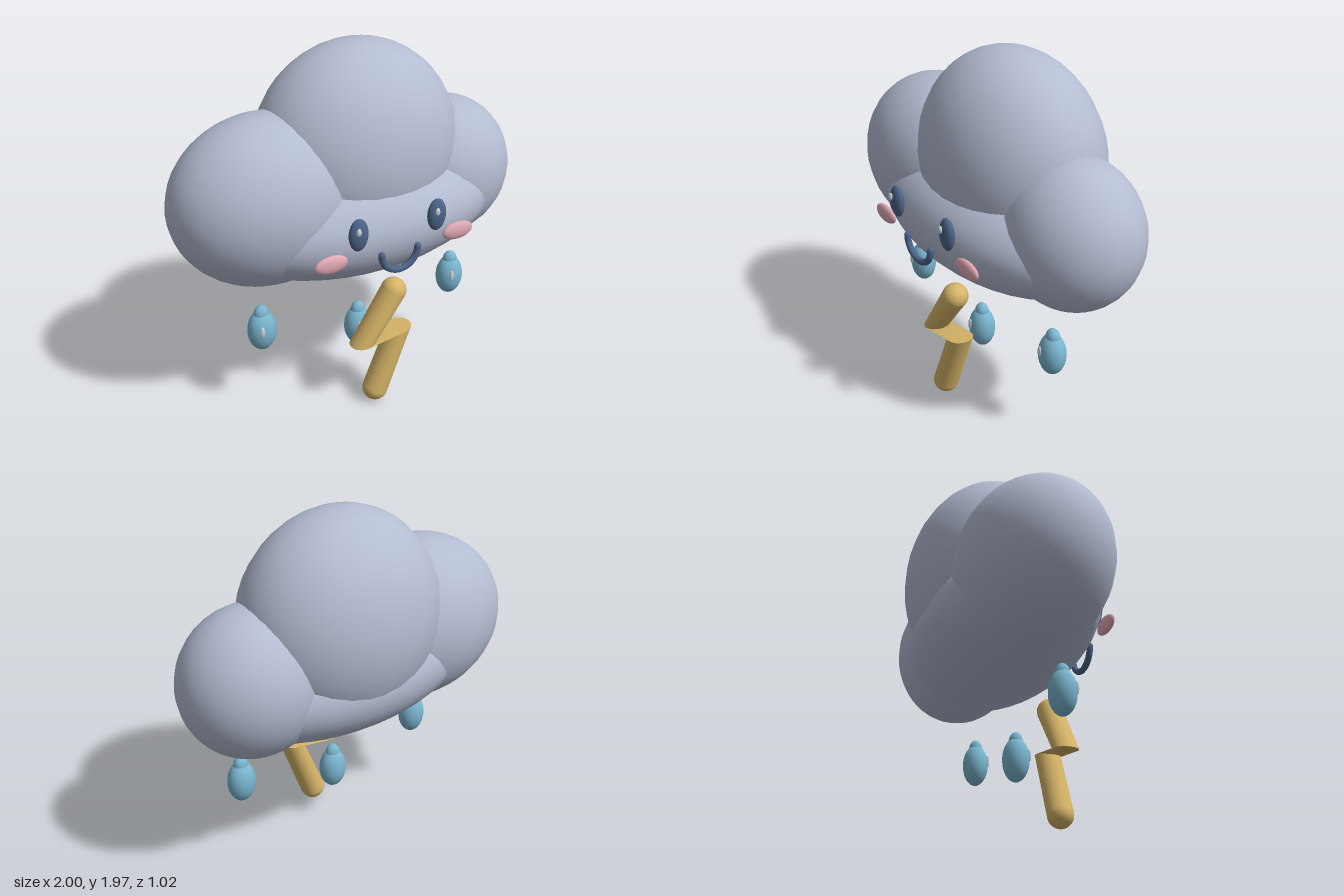
import * as THREE from 'three';

export function createModel() {
  const model = new THREE.Group();
  model.name = 'stormCloud';

  const mat = (name, color) => {
    const m = new THREE.MeshStandardMaterial({ color });
    m.name = name;
    return m;
  };
  const cloudGrey = mat('cloudGrey', 0xb4bcd2);
  const faceNavy = mat('faceNavy', 0x4c6488);
  const blushPink = mat('blushPink', 0xe0a9b5);
  const rainBlue = mat('rainBlue', 0x7ab6d0);
  const boltGold = mat('boltGold', 0xd6b568);
  boltGold.side = THREE.DoubleSide;
  const shineWhite = mat('shineWhite', 0xc8cfde);

  const add = (parent, name, geometry, material) => {
    const mesh = new THREE.Mesh(geometry, material);
    mesh.name = name;
    parent.add(mesh);
    return mesh;
  };
  const group = (name) => {
    const g = new THREE.Group();
    g.name = name;
    model.add(g);
    return g;
  };
  const ellipsoid = (parent, name, material, center, radii, seg = 20) => {
    const mesh = add(parent, name, new THREE.SphereGeometry(1, seg, Math.round(seg * 0.7)), material);
    mesh.position.set(...center);
    mesh.scale.set(...radii);
    return mesh;
  };

  // Cloud puffs
  const cloud = group('cloud');
  ellipsoid(cloud, 'topPuff', cloudGrey, [0.076, 1.39, -0.065], [0.576, 0.59, 0.447], 32);
  ellipsoid(cloud, 'rightPuff', cloudGrey, [-0.47, 1.228, -0.02], [0.53, 0.463, 0.4], 32);
  ellipsoid(cloud, 'leftPuff', cloudGrey, [0.6, 1.175, -0.04], [0.4, 0.405, 0.354], 32);
  ellipsoid(cloud, 'basePuff', cloudGrey, [0.04, 1.08, 0.005], [0.84, 0.34, 0.46], 32);

  // Eyes and cheeks
  const face = group('face');
  for (const x of [-0.2, 0.255]) {
    ellipsoid(face, 'eye', faceNavy, [x, 1.18, 0.472], [0.054, 0.089, 0.03]);
    ellipsoid(face, 'eyeShine', shineWhite, [x - 0.014, 1.21, 0.502], [0.014, 0.022, 0.01], 12);
  }
  for (const x of [-0.344, 0.4]) {
    ellipsoid(face, 'cheek', blushPink, [x, 1.043, 0.457], [0.092, 0.05, 0.023]);
  }

  // Smile with rounded ends
  const smile = new THREE.Group();
  smile.name = 'smile';
  smile.position.set(0.028, 1.04, 0.493);
  face.add(smile);
  const arc = add(smile, 'smileArc', new THREE.TorusGeometry(0.106, 0.018, 10, 24, Math.PI), faceNavy);
  arc.rotation.z = Math.PI;
  for (const s of [-1, 1]) {
    ellipsoid(smile, 'smileEnd', faceNavy, [s * 0.106, 0, 0], [0.018, 0.018, 0.018], 12);
  }

  // Raindrops: oval body, small tip and a highlight
  for (const [x, y] of [[-0.573, 0.51], [0.015, 0.355], [0.625, 0.51]]) {
    const drop = group('raindrop');
    drop.position.set(x, y, 0.083);
    ellipsoid(drop, 'dropBody', rainBlue, [0, 0, 0], [0.08, 0.12, 0.071]);
    ellipsoid(drop, 'dropTip', rainBlue, [0, 0.1, 0], [0.042, 0.052, 0.037], 16);
    ellipsoid(drop, 'dropShine', shineWhite, [-0.024, 0.025, 0.066], [0.014, 0.035, 0.009], 12);
  }

  // Lightning bolt: bars whose end rings are tilted to meet in a zigzag
  const bolt = group('lightningBolt');
  bolt.position.z = 0.322;
  const r = 0.071;
  const rings = [
    { c: [0.1, 0.69], u: [0.81, -0.58] },
    { c: [-0.088, 0.411], u: [0.994, 0.11] },
    { c: [0.138, 0.446], u: [0.994, 0.11] },
    { c: [-0.006, 0.079], u: [0.93, -0.37] },
  ];
  const bar = (name, top, bottom) => {
    const geo = new THREE.CylinderGeometry(1, 1, 1, 20);
    const p = geo.attributes.position;
    for (let i = 0; i < p.count; i++) {
      const { c, u } = p.getY(i) > 0 ? top : bottom;
      const k = p.getX(i) * r;
      p.setXYZ(i, c[0] + u[0] * k, c[1] + u[1] * k, p.getZ(i) * r);
    }
    geo.computeVertexNormals();
    add(bolt, name, geo, boltGold);
  };
  bar('upperBar', rings[0], rings[1]);
  bar('middleBar', rings[2], rings[1]);
  bar('lowerBar', rings[2], rings[3]);
  for (const { c } of [rings[0], rings[3]]) {
    ellipsoid(bolt, 'boltEnd', boltGold, [c[0], c[1], 0], [r, r, r]);
  }

  return model;
}
